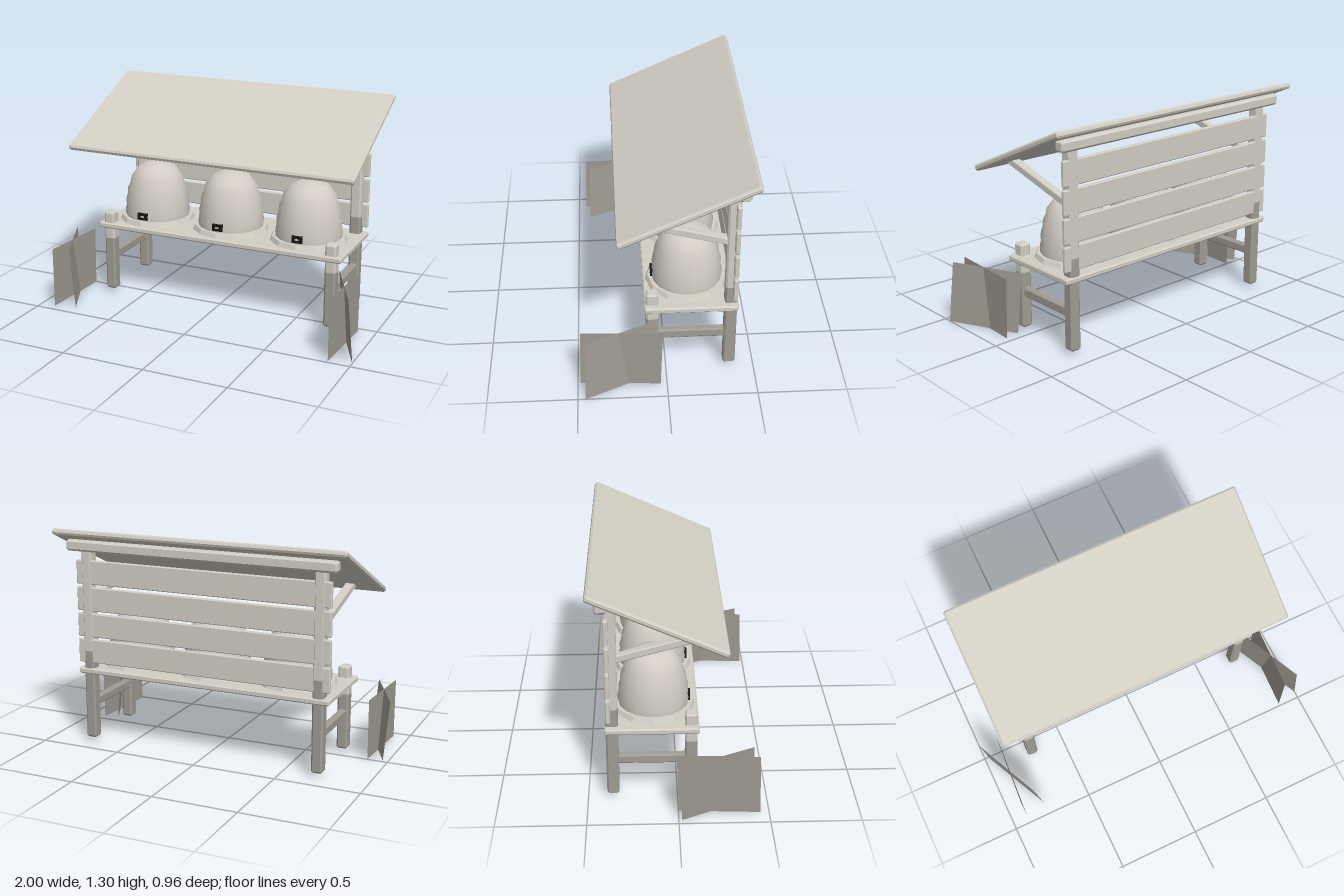
import * as THREE from 'three';

const CX = 0.015; // middle of the stand in x

const paint = (name, color, side = THREE.FrontSide) => {
  const m = new THREE.MeshStandardMaterial({ color, side });
  m.name = name;
  return m;
};

// Box with chamfered edges, centred on the origin
function chamferBox(w, h, d, b = 0.008) {
  const x = w / 2, y = h / 2;
  const s = new THREE.Shape([
    [-x + b, -y], [x - b, -y], [x, -y + b], [x, y - b],
    [x - b, y], [-x + b, y], [-x, y - b], [-x, -y + b],
  ].map(p => new THREE.Vector2(...p)));
  const g = new THREE.ExtrudeGeometry(s, {
    depth: d - 2 * b, bevelEnabled: true, bevelSegments: 1,
    bevelSize: b, bevelThickness: b, bevelOffset: -b,
  });
  return g.translate(0, 0, -d / 2 + b);
}

export function createModel() {
  const model = new THREE.Group();
  model.name = 'beehiveStand';
  const wood = paint('pale wood', 0xd2cec4);
  const damp = paint('weathered wood', 0xa09c94);
  const straw = paint('straw', 0xd3cdc4);
  const black = paint('entrance black', 0x161616);
  const leaf = paint('foliage', 0x9e9991, THREE.DoubleSide);

  const add = (name, geo, mat, x = 0, y = 0, z = 0, parent = model) => {
    const m = new THREE.Mesh(geo, mat);
    m.name = name;
    m.position.set(x, y, z);
    parent.add(m);
    return m;
  };
  // Box given by its limits in y and z, and its centre and width in x
  const beam = (name, mat, x, w, y0, y1, z0, z1, b) =>
    add(name, chamferBox(w, y1 - y0, z1 - z0, b), mat, x, (y0 + y1) / 2, (z0 + z1) / 2);

  // Posts: weathered below the split height, pale above
  const post = (name, x, z0, z1, top, split) => {
    const b = 0.01;
    beam(name + 'Lower', damp, x, 0.066, 0.025, split + b, z0, z1, b);
    beam(name + 'Upper', wood, x, 0.066, split - b, top, z0, z1, b);
  };
  for (const [side, s] of [['left', 1], ['right', -1]]) {
    const x = CX + s * 0.722;
    post(side + 'FrontLeg', x, 0.042, 0.111, 0.53, 0.36);
    post(side + 'RearPost', x, -0.394, -0.325, 1.18, 0.565);
    beam(side + 'CrossRail', damp, x, 0.045, 0.215, 0.27, -0.34, 0.06);
    // Sloping roof brace
    const brace = add(side + 'RoofBrace', chamferBox(0.05, 0.042, 0.515, 0.005), wood, x, 0.932, -0.09);
    brace.rotation.x = -Math.atan2(0.135, 0.5);
  }

  // Shelf, back planks and ridge beam
  beam('shelf', wood, CX, 1.58, 0.425, 0.461, -0.4, 0.121);
  [0.495, 0.652, 0.81, 0.97].forEach((y, i) =>
    beam('backPlank' + (i + 1), wood, CX, 1.58, y, y + 0.143, -0.391, -0.366, 0.005));
  beam('roofBeam', wood, CX, 1.66, 1.17, 1.235, -0.436, -0.368, 0.012);

  // Sloping roof
  const roof = add('roof', chamferBox(1.79, 0.036, 0.815, 0.01), wood, CX, 1.122, -0.105);
  roof.rotation.x = Math.atan2(0.33, 0.734);

  // Straw hives with ridged coils
  const profile = [
    [0.196, 0.47], [0.202, 0.515], [0.194, 0.55], [0.196, 0.59], [0.185, 0.62],
    [0.183, 0.66], [0.168, 0.69], [0.16, 0.73], [0.138, 0.76], [0.112, 0.795],
    [0.06, 0.817], [0, 0.824],
  ].map(p => new THREE.Vector2(...p));
  const hiveGeo = new THREE.LatheGeometry(profile, 18);
  const baseGeo = new THREE.CylinderGeometry(0.222, 0.235, 0.027, 12).toNonIndexed();
  baseGeo.computeVertexNormals();
  [-0.505, 0, 0.505].forEach((dx, i) => {
    const hive = new THREE.Group();
    hive.name = 'hive' + (i + 1);
    hive.position.set(CX + dx, 0, -0.128);
    model.add(hive);
    add('hiveBase', baseGeo, wood, 0, 0.4735, 0, hive);
    add('hiveDome', hiveGeo, straw, 0, 0, 0, hive);
    add('entrance', new THREE.BoxGeometry(0.064, 0.042, 0.03), black, 0, 0.518, 0.191, hive);
    add('entranceGap', new THREE.BoxGeometry(0.022, 0.01, 0.002), wood, 0, 0.518, 0.2065, hive);
  });

  // Crossed leaf cards beside each front leg; corners run around the card
  const card = (name, corners, parent) => {
    const g = new THREE.BufferGeometry();
    g.setAttribute('position', new THREE.Float32BufferAttribute(corners.flat(), 3));
    g.setIndex([0, 1, 2, 0, 2, 3]);
    g.computeVertexNormals();
    add(name, g, leaf, 0, 0, 0, parent);
  };
  for (const [name, x, z] of [['leftPlant', 0.887, 0.25], ['rightPlant', -0.888, 0.217]]) {
    const plant = new THREE.Group();
    plant.name = name;
    plant.position.set(x, 0, z);
    model.add(plant);
    card('wideLeafCard', [
      [-0.08, 0, -0.2], [0.113, 0, 0.207], [0.076, 0.362, 0.2], [-0.114, 0.362, -0.208],
    ], plant);
    card('narrowLeafCard', [
      [0.008, 0, -0.214], [-0.018, 0, 0.235], [-0.022, 0.362, 0.226], [0.006, 0.362, -0.226],
    ], plant);
  }
  return model;
}
